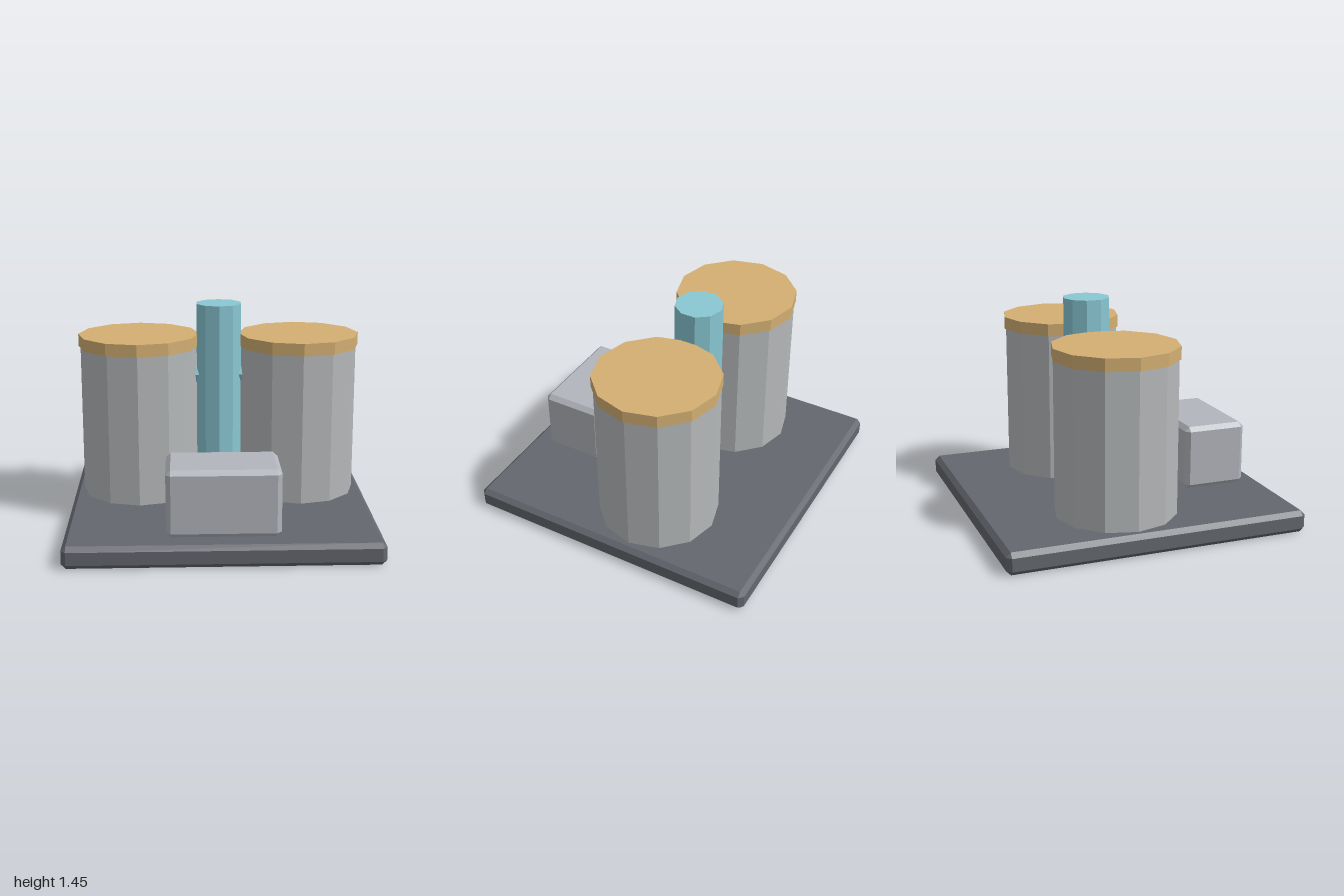
import * as THREE from 'three';
import { ConvexGeometry } from 'three/addons/geometries/ConvexGeometry.js';

function material(name, color) {
  const m = new THREE.MeshStandardMaterial({ color, flatShading: true });
  m.name = name;
  return m;
}

// Box with every edge cut at 45 degrees
function chamferedBox(w, h, d, c) {
  const points = [];
  for (const x of [-1, 1]) for (const y of [-1, 1]) for (const z of [-1, 1]) {
    for (let axis = 0; axis < 3; axis++) {
      const inset = [c, c, c];
      inset[axis] = 0;
      points.push(new THREE.Vector3(
        x * (w / 2 - inset[0]), y * (h / 2 - inset[1]), z * (d / 2 - inset[2])));
    }
  }
  return new ConvexGeometry(points);
}

export function createModel() {
  const model = new THREE.Group();
  const darkGrey = material('dark grey', 0x64676e);
  const tankGrey = material('tank grey', 0xb5b8ba);
  const boxGrey = material('box grey', 0xb2b5bb);
  const tan = material('tan', 0xd3af73);
  const teal = material('teal', 0x89c7d3);

  function add(name, geometry, mat, x, y, z) {
    const mesh = new THREE.Mesh(geometry, mat);
    mesh.name = name;
    mesh.position.set(x, y, z);
    model.add(mesh);
    return mesh;
  }
  // Upright prism between two heights
  const column = (name, r, sides, y0, y1, mat, x, z) =>
    add(name, new THREE.CylinderGeometry(r, r, y1 - y0, sides), mat, x, (y0 + y1) / 2, z);

  // Ground slab
  add('base', chamferedBox(2, 0.145, 2, 0.03), darkGrey, 0, 0.0725, 0);

  // Twin tanks with overhanging lids
  for (const [side, s] of [['left', 1], ['right', -1]]) {
    column(side + 'Tank', 0.4, 12, 0.14, 1.16, tankGrey, s * 0.542, -0.148);
    column(side + 'TankLid', 0.41, 12, 1.16, 1.243, tan, s * 0.545, -0.148);
  }

  // Central riser and the short pipe joining it to the tanks
  column('riser', 0.158, 10, 0.14, 1.45, teal, 0, -0.148);
  const link = add('crossPipe', new THREE.CylinderGeometry(0.07, 0.07, 0.4, 8), teal, 0, 0.965, -0.148);
  link.rotation.z = Math.PI / 2;

  // Control box with a panel on its rear face
  add('controlBox', chamferedBox(0.72, 0.435, 0.432, 0.03), boxGrey, 0, 0.3625, 0.653);
  add('controlPanel', new THREE.BoxGeometry(0.436, 0.086, 0.04), teal, 0, 0.437, 0.428);

  return model;
}
